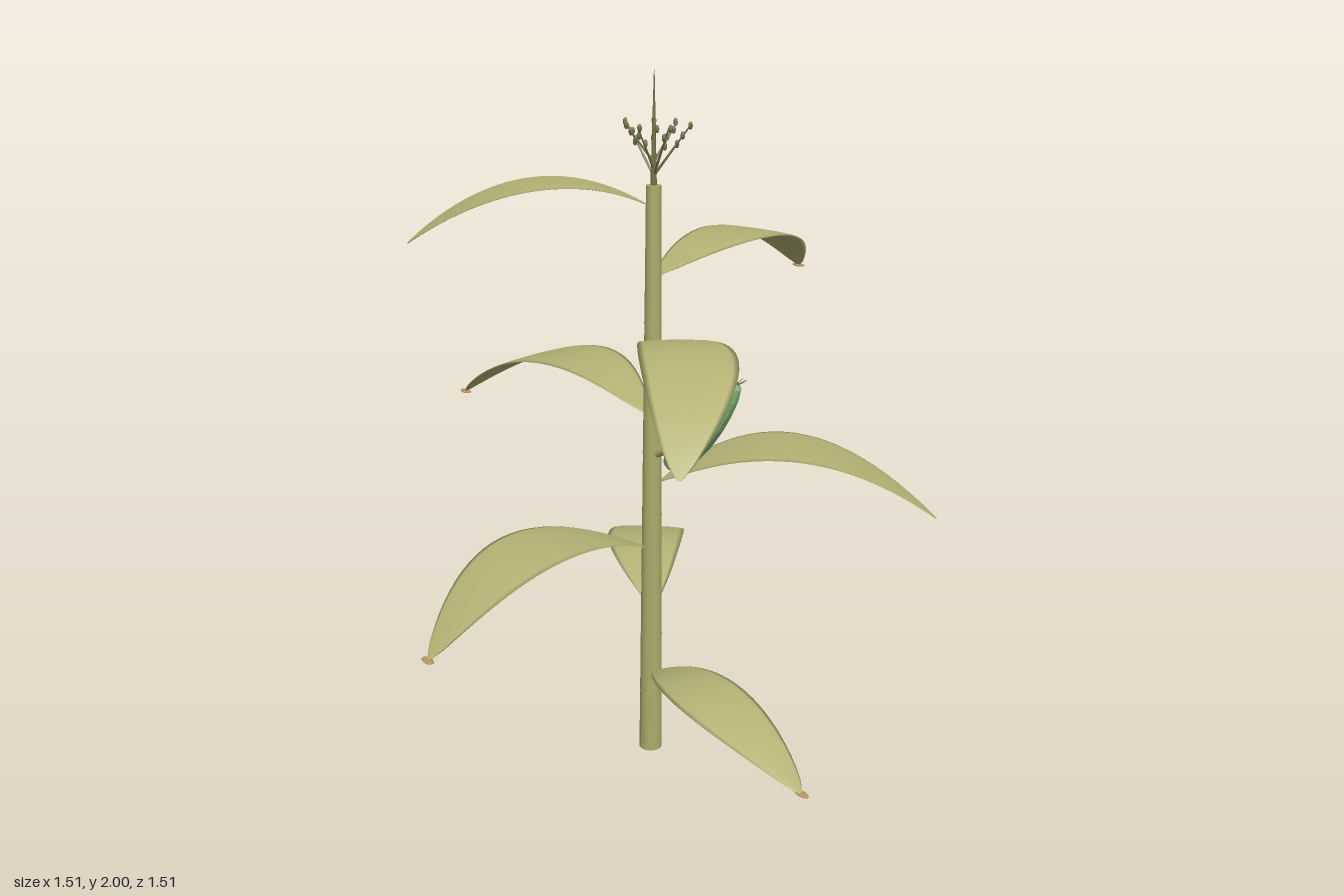
import * as THREE from 'three';

const mat = (name, color, opts = {}) => {
  const m = new THREE.MeshStandardMaterial({ color, ...opts });
  m.name = name;
  return m;
};

// Leaf blade along +x: an arching, sideways-swaying lens section
function leafGeometry(length, side) {
  const rows = 24, ring = 12, pos = [], index = [];
  const start = 0.02, rise = 0.272 * length, drop = 0.13 * length;
  for (let i = 0; i <= rows; i++) {
    const t = i / rows, s = Math.max(0, Math.sin(Math.PI * t));
    const x = start + (length - start) * t;
    const y = 2 * rise * t - (2 * rise + drop) * t * t;
    const z = side * 0.074 * length * s;
    const half = 0.155 * length * Math.pow(s, 0.75) + 0.004;
    const thick = 0.002 + 0.004 * s;
    for (let j = 0; j < ring; j++) {
      const a = (j / ring) * Math.PI * 2;
      pos.push(x, y + thick * Math.sin(a), z + half * Math.cos(a));
    }
  }
  for (let i = 0; i < rows; i++) {
    for (let j = 0; j < ring; j++) {
      const a = i * ring + j, b = i * ring + (j + 1) % ring;
      index.push(a, a + ring, b, b, a + ring, b + ring);
    }
  }
  const g = new THREE.BufferGeometry();
  g.setAttribute('position', new THREE.Float32BufferAttribute(pos, 3));
  g.setIndex(index);
  g.computeVertexNormals();
  return g;
}

export function createModel() {
  const stalkMat = mat('stalk olive', 0xacad6c);
  const leafMat = mat('leaf olive', 0xb3b174);
  const dryMat = mat('dry tip tan', 0xbb945f);
  const earMat = mat('husk green', 0x86b87c, { flatShading: true });
  const tasselMat = mat('tassel dark olive', 0x74754a);

  const model = new THREE.Group();
  const plant = new THREE.Group();
  plant.name = 'plant';
  plant.position.set(0.065, 0, -0.035);
  model.add(plant);

  const add = (name, geometry, material, parent = plant) => {
    const m = new THREE.Mesh(geometry, material);
    m.name = name;
    parent.add(m);
    return m;
  };
  const up = new THREE.Vector3(0, 1, 0);
  // Tapered rod between two points
  const rod = (name, a, b, r0, r1, material, sides = 8) => {
    const d = b.clone().sub(a);
    const m = add(name, new THREE.CylinderGeometry(r1, r0, d.length(), sides), material);
    m.position.copy(a).addScaledVector(d, 0.5);
    m.quaternion.setFromUnitVectors(up, d.normalize());
    return m;
  };
  const V = (x, y, z) => new THREE.Vector3(x, y, z);

  // Stalk: stacked segments with a slight swelling at each joint
  const segments = 9, h = 1.7 / segments;
  const radius = (i) => 0.034 - 0.0135 * i / segments;
  for (let i = 0; i < segments; i++) {
    const seg = add('stalkSegment', new THREE.CylinderGeometry(radius(i + 1), radius(i), h, 16), stalkMat);
    seg.position.y = h * (i + 0.5);
    if (i > 0) {
      const joint = add('stalkJoint', new THREE.CylinderGeometry(radius(i) + 0.001, radius(i) + 0.001, 0.006, 16), stalkMat);
      joint.position.y = h * i;
    }
  }

  // Leaves in a rising spiral, swaying to alternate sides
  const lengths = [0.665, 0.733, 0.778, 0.813, 0.812, 0.775, 0.735, 0.655];
  const dryTips = [0, 1, 2, 4, 6];
  lengths.forEach((length, i) => {
    const turn = THREE.MathUtils.degToRad(137.5 * i);
    const y = 0.26 + 0.1985 * i;
    const leaf = add('leaf', leafGeometry(length, i % 2 ? -1 : 1), leafMat);
    leaf.position.y = y;
    leaf.rotation.y = turn;
    if (dryTips.includes(i)) {
      const tip = add('dryLeafTip', new THREE.SphereGeometry(1, 12, 8), dryMat);
      tip.scale.set(0.025, 0.004, 0.013);
      tip.position.set(Math.cos(turn) * length, y - 0.13 * length, -Math.sin(turn) * length);
    }
  });

  // Ear leaning away from the stalk on a short shank
  const earBase = V(0.05, 0.905, -0.02), earTip = V(0.245, 1.19, -0.1);
  const earAxis = earTip.clone().sub(earBase);
  const profile = [[0, 0], [0.026, 0.015], [0.042, 0.05], [0.052, 0.1], [0.055, 0.15], [0.052, 0.21],
    [0.045, 0.26], [0.034, 0.31], [0.02, 0.345], [0, 0.355]].map(([x, y]) => new THREE.Vector2(x, y));
  const ear = add('ear', new THREE.LatheGeometry(profile, 12), earMat);
  ear.position.copy(earBase);
  ear.quaternion.setFromUnitVectors(up, earAxis.clone().normalize());
  rod('earShank', V(0.01, 0.945, 0), V(0.1, 1.0, -0.04), 0.016, 0.02, stalkMat, 10);

  // Short silk strands at the ear tip
  for (let i = 0; i < 6; i++) {
    const a = (i / 6) * Math.PI * 2;
    const end = earTip.clone().add(V(0.012 + 0.018 * Math.cos(a), 0.012, 0.018 * Math.sin(a)));
    rod('silk', earTip.clone().addScaledVector(earAxis, -0.03), end, 0.002, 0.001, tasselMat, 5);
  }

  // Tassel: central spike and branches carrying small spikelets
  rod('tasselSpike', V(0, 1.69, 0), V(0, 2, 0), 0.009, 0.001, tasselMat);
  const branches = 7;
  for (let i = 0; i < branches; i++) {
    const a = (i / branches) * Math.PI * 2 + 0.25;
    const reach = 0.1 - 0.012 * (i % 3), y0 = 1.725 + 0.018 * (i % 3);
    const from = V(0, y0, 0);
    const to = V(Math.cos(a) * reach, 1.862, Math.sin(a) * reach);
    rod('tasselBranch', from, to, 0.004, 0.002, tasselMat, 6);
    for (let k = 0; k < 3; k++) {
      const bead = add('spikelet', new THREE.SphereGeometry(1, 8, 6), tasselMat);
      bead.scale.set(0.006, 0.011, 0.006);
      bead.position.lerpVectors(from, to, 0.62 + 0.18 * k);
      bead.position.x += (k % 2 ? -1 : 1) * 0.005 * Math.sin(a);
      bead.position.z -= (k % 2 ? -1 : 1) * 0.005 * Math.cos(a);
    }
  }
  return model;
}
